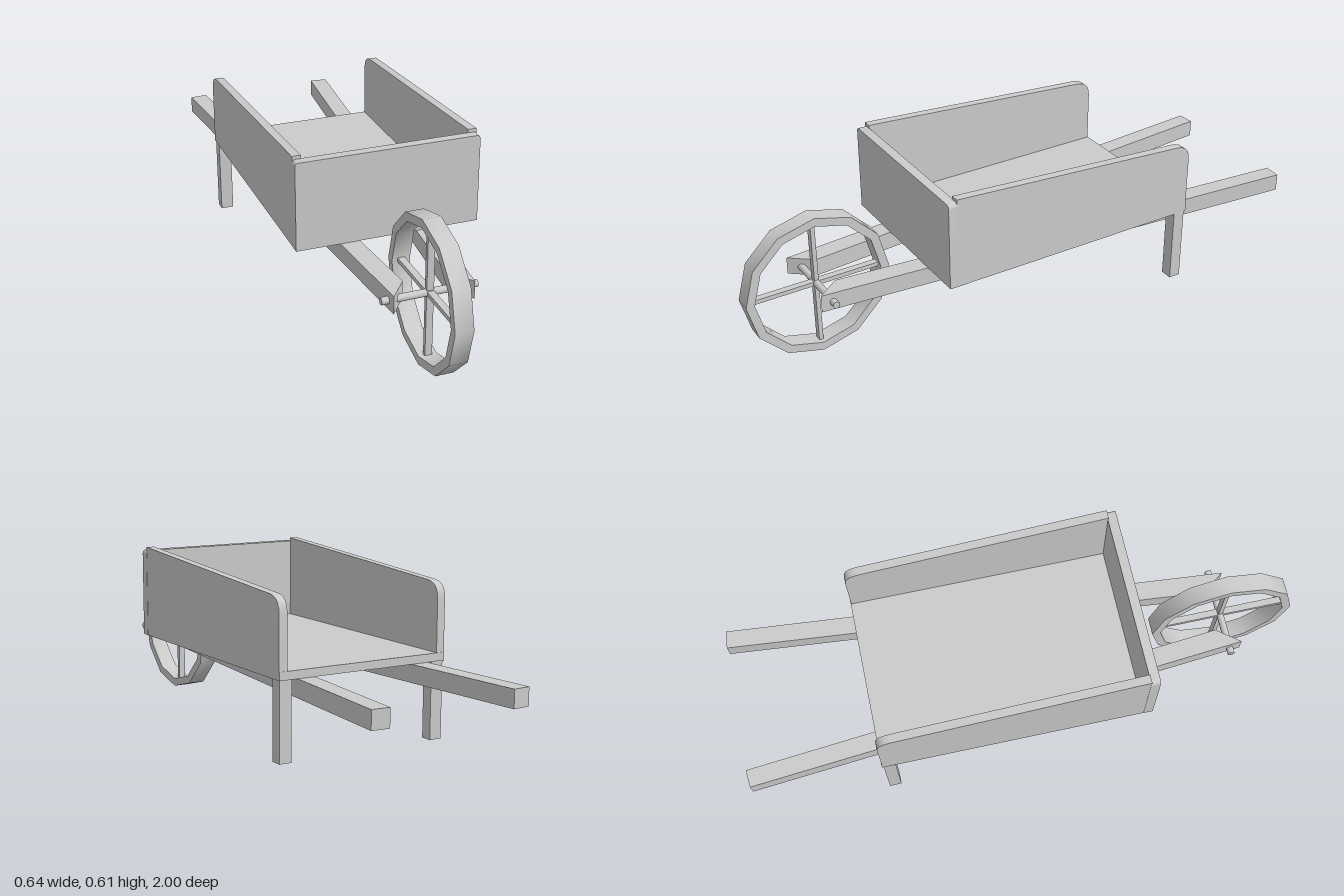
import * as THREE from 'three';
import { toCreasedNormals } from 'three/addons/utils/BufferGeometryUtils.js';

const material = new THREE.MeshStandardMaterial({ color: 0xcccccc });

function add(parent, name, geometry, x = 0, y = 0, z = 0) {
  const mesh = new THREE.Mesh(geometry, material);
  mesh.name = name;
  mesh.position.set(x, y, z);
  parent.add(mesh);
  return mesh;
}

const box = (w, h, d) => new THREE.BoxGeometry(w, h, d);

function extrude(shape, depth) {
  return new THREE.ExtrudeGeometry(shape, { depth, bevelEnabled: false, curveSegments: 6 });
}

// Side board: outline in (z, y), sloping to a rounded rear corner
function sideBoardGeometry() {
  const s = new THREE.Shape();
  s.moveTo(0.382, 0.3);
  s.lineTo(0.382, 0.613);
  s.lineTo(-0.485, 0.556);
  s.quadraticCurveTo(-0.54, 0.552, -0.54, 0.5);
  s.lineTo(-0.54, 0.3);
  s.closePath();
  return toCreasedNormals(extrude(s, 0.03).translate(0, 0, -0.015).rotateY(-Math.PI / 2), 0.6);
}

// Front board: upper corners slightly rounded
function frontBoardGeometry() {
  const s = new THREE.Shape();
  const w = 0.319, top = 0.601, r = 0.014;
  s.moveTo(-w, 0.292);
  s.lineTo(w, 0.292);
  s.lineTo(w, top - r);
  s.quadraticCurveTo(w, top, w - r, top);
  s.lineTo(-w + r, top);
  s.quadraticCurveTo(-w, top, -w, top - r);
  s.closePath();
  return toCreasedNormals(extrude(s, 0.033), 0.6);
}

// Handle: plan outline with a mitred front end, side is +1 or -1
function handleGeometry(side) {
  const plan = [[0.228, -1], [0.29, -0.995], [0.135, 0.785], [0.073, 0.705]];
  const s = new THREE.Shape(plan.map(([x, z]) => new THREE.Vector2(side * x, -z)));
  return extrude(s, 0.062).rotateX(-Math.PI / 2).translate(0, 0.229, 0);
}

export function createModel() {
  const model = new THREE.Group();
  model.name = 'wheelbarrow';

  // Tray
  const tray = new THREE.Group();
  tray.name = 'tray';
  model.add(tray);
  add(tray, 'floor', box(0.636, 0.028, 0.952), 0, 0.305, -0.066);
  add(tray, 'frontBoard', frontBoardGeometry(), 0, 0, 0.38);

  for (const side of [1, -1]) {
    const label = side > 0 ? 'left' : 'right';
    add(tray, label + 'SideBoard', sideBoardGeometry(), side * 0.303, 0, 0);
    add(model, label + 'Handle', handleGeometry(side));
    add(model, label + 'Leg', box(0.045, 0.268, 0.042), side * 0.2925, 0.158, -0.516);
  }

  // Wheel: twelve-sided rim, crossed spokes and axle
  const wheel = new THREE.Group();
  wheel.name = 'wheel';
  wheel.position.set(0, 0.258, 0.744);
  model.add(wheel);

  const R = 0.256, inner = 0.226, half = 0.031;
  const profile = [[inner, -half], [R, -half], [R, half], [inner, half], [inner, -half]]
    .map(([r, y]) => new THREE.Vector2(r, y));
  const rim = toCreasedNormals(new THREE.LatheGeometry(profile, 12), 0.6).rotateZ(Math.PI / 2);
  add(wheel, 'rim', rim);
  for (let i = 0; i < 2; i++) {
    add(wheel, 'spoke', box(0.024, 0.456, 0.015)).rotation.x = i * Math.PI / 2;
  }
  add(wheel, 'axle', new THREE.CylinderGeometry(0.0125, 0.0125, 0.324, 16).rotateZ(Math.PI / 2));

  return model;
}
